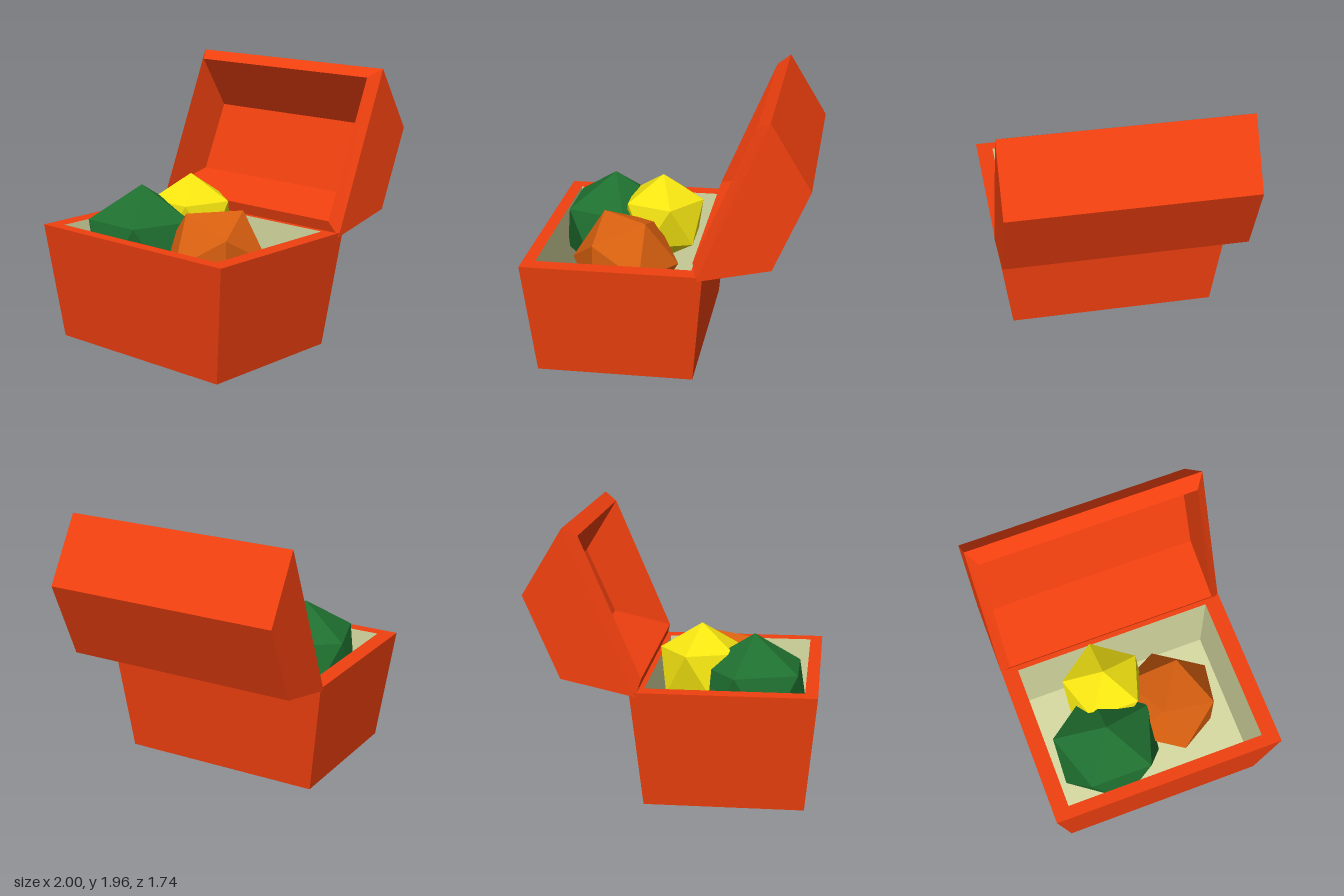
import * as THREE from 'three';

const paint = (color) => new THREE.MeshStandardMaterial({ color, flatShading: true });

// Flat-shaded mesh from convex polygons (corners counter-clockwise from outside)
function panels(name, faces, material) {
  const pos = [];
  for (const f of faces)
    for (let i = 1; i < f.length - 1; i++) pos.push(...f[0], ...f[i], ...f[i + 1]);
  const geo = new THREE.BufferGeometry();
  geo.setAttribute('position', new THREE.Float32BufferAttribute(pos, 3));
  geo.computeVertexNormals();
  const mesh = new THREE.Mesh(geo, material);
  mesh.name = name;
  return mesh;
}

// Quads joining two closed loops of equal length
const band = (a, b) => a.map((p, i) => {
  const j = (i + 1) % a.length;
  return [p, a[j], b[j], b[i]];
});

const rect = (x0, x1, z, y) => [[x0, y, z], [x1, y, z], [x1, y, -z], [x0, y, -z]];
const flip = (face) => [...face].reverse();

// Trough along z: three long walls and two ends, open on its last profile edge
function trough(profile, z) {
  const at = (s) => profile.map(([x, y]) => [x, y, s]);
  const front = at(z), back = at(-z);
  const faces = [front, flip(back)];
  for (let i = 0; i < 3; i++) faces.push([front[i], back[i], back[i + 1], front[i + 1]]);
  return { faces, mouth: [front[0], front[3], back[3], back[0]] };
}

export function createModel() {
  const model = new THREE.Group();
  const red = paint(0xf0400f);

  // Tapered chest body with a flat rim
  const bottom = rect(-0.92, 0.2, 0.76, 0);
  const top = rect(-1, 0.28, 0.87, 0.84);
  const opening = rect(-0.91, 0.19, 0.75, 0.84);
  const floor = rect(-0.91, 0.19, 0.75, 0.08);
  model.add(panels('chestBody', [flip(bottom), ...band(bottom, top), ...band(top, opening)], red));

  // Pale lining inside the chest
  model.add(panels('chestLining', [...band(opening, floor), floor], paint(0xd8dca2)));

  // Open hollow lid with a bevelled rim
  const shell = trough([[0.235, 0.81], [0.75, 0.925], [1, 1.5], [0.72, 1.96]], 0.87);
  const hollow = trough([[0.205, 0.92], [0.645, 1.02], [0.865, 1.51], [0.625, 1.9]], 0.8);
  model.add(panels('lid',
    [...shell.faces, ...band(shell.mouth, hollow.mouth), ...hollow.faces.map(flip)], red));

  // Gems: two standing on a point, one lying on an edge
  const tip = -Math.atan(2 / (1 + Math.sqrt(5)));
  const gems = [
    ['greenGem', 0x1f7030, 0.435, [-0.54, 0.71, -0.32], [0, 0, tip]],
    ['yellowGem', 0xf5e511, 0.335, [-0.155, 0.85, -0.2], [0, 0, tip]],
    ['orangeGem', 0xd86010, 0.393, [-0.37, 0.665, 0.237], [0, -0.595, 0]],
  ];
  for (const [name, color, radius, position, rotation] of gems) {
    const gem = new THREE.Mesh(new THREE.IcosahedronGeometry(radius, 0), paint(color));
    gem.name = name;
    gem.position.set(...position);
    gem.rotation.set(...rotation);
    model.add(gem);
  }

  return model;
}
